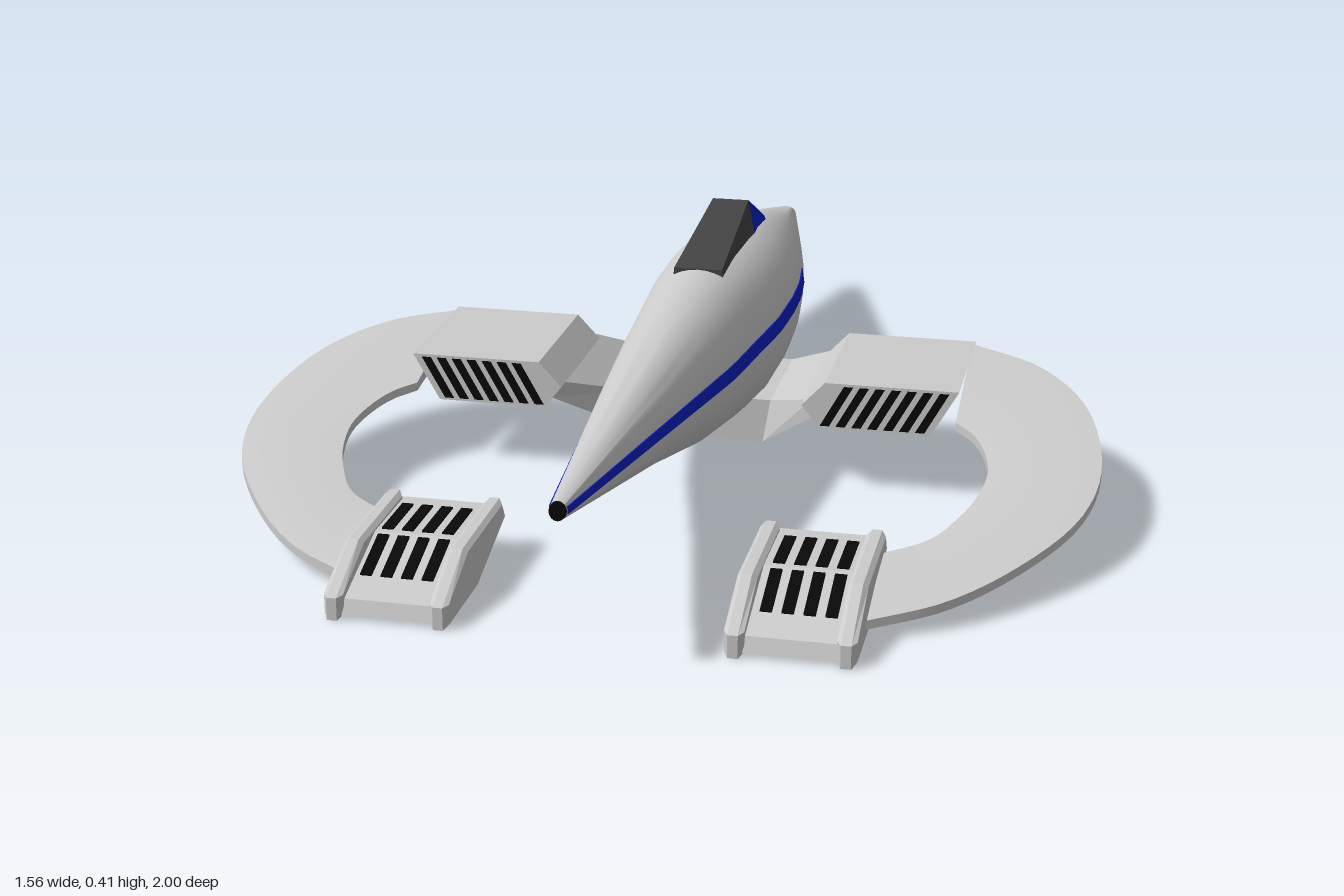
import * as THREE from 'three';
import { toCreasedNormals } from 'three/addons/utils/BufferGeometryUtils.js';

const paint = (color) => new THREE.MeshStandardMaterial({ color });
const grey = paint(0xcccccc), blue = paint(0x0b1fc4), dark = paint(0x444444), black = paint(0x080808);

// Skin over equal-length rings of [x, y, z]; rings run counter-clockwise about the travel direction
function loft(rings, crease = 0.6) {
  const n = rings[0].length, last = (rings.length - 1) * n, index = [];
  for (let i = 0; i < rings.length - 1; i++) {
    for (let j = 0; j < n; j++) {
      const a = i * n + j, b = i * n + (j + 1) % n;
      index.push(a, b, a + n, b, b + n, a + n);
    }
  }
  for (let j = 1; j < n - 1; j++) index.push(0, j + 1, j, last, last + j, last + j + 1);
  const geo = new THREE.BufferGeometry();
  geo.setAttribute('position', new THREE.Float32BufferAttribute(rings.flat(2), 3));
  geo.setIndex(index);
  return toCreasedNormals(geo, crease);
}

// Mirror across x, reversing each triangle
function mirrored(geo) {
  const out = geo.clone();
  for (const name of ['position', 'normal']) {
    const src = geo.attributes[name], dst = out.attributes[name];
    for (let i = 0; i < src.count; i++) {
      const k = i - (i % 3) + [0, 2, 1][i % 3];
      dst.setXYZ(i, -src.getX(k), src.getY(k), src.getZ(k));
    }
  }
  return out;
}

// Linear interpolation through rows sorted by their first value
function sample(rows, z) {
  let i = 0;
  while (i < rows.length - 2 && z > rows[i + 1][0]) i++;
  const t = (z - rows[i][0]) / (rows[i + 1][0] - rows[i][0]);
  return rows[i].map((v, k) => v + (rows[i + 1][k] - v) * t);
}

// Fuselage stations: z, top, bottom, half width
const hull = [
  [-1, 0.215, 0.185, 0.016], [-0.97, 0.225, 0.175, 0.023], [-0.7, 0.293, 0.106, 0.082],
  [-0.58, 0.322, 0.076, 0.107], [-0.48, 0.343, 0.053, 0.124], [-0.38, 0.356, 0.036, 0.136],
  [-0.28, 0.362, 0.028, 0.14], [-0.15, 0.365, 0.028, 0.137], [0, 0.363, 0.05, 0.122],
  [0.2, 0.353, 0.088, 0.104], [0.5, 0.336, 0.165, 0.07], [1, 0.305, 0.275, 0.013],
];
function hullRing(z) {
  const [, top, bottom, rx] = sample(hull, z), ring = [];
  for (let i = 0; i < 48; i++) {
    const a = (i / 48) * Math.PI * 2;
    ring.push([rx * Math.cos(a), (top + bottom) / 2 + ((top - bottom) / 2) * Math.sin(a), z]);
  }
  return ring;
}
function hullX(y, z) {
  const [, top, bottom, rx] = sample(hull, z);
  const v = (y - (top + bottom) / 2) / ((top - bottom) / 2);
  return rx * Math.sqrt(Math.max(0, 1 - v * v));
}

// Prism along x from a [z, y] outline, and along z from an [x, y] outline
const prismX = (outline, x0, x1) => loft([x0, x1].map((x) => outline.map(([z, y]) => [x, y, z])), 0.2);
const prismZ = (outline, z0, z1) => loft([z0, z1].map((z) => outline.map(([x, y]) => [x, y, z])), 0.2);

export function createModel() {
  const model = new THREE.Group();
  const add = (name, geo, mat, parent = model) => {
    const mesh = new THREE.Mesh(geo, mat);
    mesh.name = name;
    parent.add(mesh);
  };
  const sides = ['left', 'right'].map((name) => {
    const g = new THREE.Group();
    g.name = name + 'Side';
    model.add(g);
    return g;
  });
  const pair = (name, geo, mat) => {
    add(name, geo, mat, sides[0]);
    add(name, mirrored(geo), mat, sides[1]);
  };

  // Spindle fuselage and its dark nose tip
  const stations = hull.slice(0, -1).map((h) => h[0]);
  add('fuselage', loft([...stations, 0.993].map(hullRing), 0.9), grey);
  add('noseTip', loft([0.993, 1].map(hullRing)), black);

  // Side stripes: z, height, half thickness
  const path = [[-0.48, 0.22, 0.015], [-0.1, 0.224, 0.014], [0.15, 0.231, 0.014], [0.6, 0.263, 0.01], [0.99, 0.29, 0.006]];
  const stripe = [];
  for (let i = 0; i <= 36; i++) {
    const z = -0.48 + (1.47 * i) / 36, [, y, h] = sample(path, z);
    const lo = hullX(y - h, z) + 0.002, hi = hullX(y + h, z) + 0.002;
    stripe.push([[lo, y - h, z], [hi, y + h, z], [hi - 0.01, y + h, z], [lo - 0.01, y - h, z]]);
  }
  pair('sideStripe', loft(stripe), blue);

  // Wedge canopy: blue windscreen frame, two panes, dark cover
  const canopyRing = (z, wb, wt, top) => [[wb, 0.325, z], [wt, top, z], [-wt, top, z], [-wb, 0.325, z]];
  const peak = canopyRing(-0.33, 0.053, 0.036, 0.416);
  add('windscreenFrame', loft([canopyRing(-0.485, 0.045, 0.04, 0.341), peak], 0.2), blue);
  add('canopyCover', loft([peak, canopyRing(-0.02, 0.05, 0.046, 0.365)], 0.2), dark);
  for (const [z0, z1] of [[-0.465, -0.42], [-0.41, -0.35]]) {
    const ring = (z) => {
      const y = 0.341 + (0.075 * (z + 0.485)) / 0.155;
      return [[0.022, y - 0.004, z], [0.022, y + 0.003, z], [-0.022, y + 0.003, z], [-0.022, y - 0.004, z]];
    };
    add('windscreenPane', loft([z0, z1].map(ring), 0.2), grey);
  }

  // Belly pylon with arms sweeping out and up to the intakes
  const armRing = (xt, xb, top, bottom, z0, z1) => [[xt, top, z0], [xt, top, z1], [xb, bottom, z1], [xb, bottom, z0]];
  add('bellyPylon', loft([
    armRing(-0.245, -0.25, 0.178, 0.145, -0.15, 0.135), armRing(-0.13, -0.115, 0.09, 0.003, -0.325, -0.08),
    armRing(0.13, 0.115, 0.09, 0.003, -0.325, -0.08), armRing(0.245, 0.25, 0.178, 0.145, -0.15, 0.135),
  ], 0.2), grey);

  // Intakes with slanted dark vents at both ends
  pair('intake', prismZ([[0.26, 0.125], [0.465, 0.125], [0.515, 0.213], [0.27, 0.213], [0.227, 0.167]], -0.152, 0.138), grey);
  for (let i = 0; i < 7; i++) {
    const x = 0.262 + i * 0.0292, w = 0.017;
    const x1 = x + 0.043;
    pair('intakeVent', prismZ([[x, 0.13], [x + w, 0.13], [x1 + w, 0.208], [x1, 0.208]], -0.154, 0.14), black);
  }

  // Curved, forward-sloping wing plate joining intake to pod
  const curve = (pts) => new THREE.CatmullRomCurve3(pts.map(([x, z]) => new THREE.Vector3(x, 0, z)));
  const outer = curve([[0.51, -0.15], [0.64, -0.085], [0.735, 0.04], [0.78, 0.25], [0.755, 0.41], [0.67, 0.56], [0.56, 0.68], [0.43, 0.755]]);
  const inner = curve([[0.51, 0.135], [0.545, 0.17], [0.57, 0.22], [0.585, 0.29], [0.575, 0.37], [0.55, 0.44], [0.51, 0.51], [0.43, 0.565]]);
  const wing = [];
  for (let i = 0; i <= 32; i++) {
    const o = outer.getPoint(i / 32), n = inner.getPoint(i / 32), m = o.clone().lerp(n, 0.5);
    const at = (p, h) => [p.x, 0.2 - 0.19 * (p.z + 0.15) + h, p.z];
    wing.push([at(o, 0.008), at(m, 0.014), at(n, 0.008), at(n, -0.008), at(m, -0.014), at(o, -0.008)]);
  }
  pair('wingPlate', loft(wing), grey);

  // Pods: body, side rails with chamfered faces, vent slots above and below
  pair('podBody', prismX([[0.525, 0.088], [0.68, 0.088], [0.84, 0.035], [0.85, 0.009], [0.69, 0.015], [0.515, 0.065]], 0.25, 0.42), grey);
  const rail = [[0.525, 0.1], [0.74, 0.097], [0.858, 0.042], [0.858, 0.002], [0.69, 0.003], [0.508, 0.068]];
  const railRing = (x, s) => rail.map(([z, y]) => [x, 0.052 + (y - 0.052) * s, 0.685 + (z - 0.685) * (s + 1) / 2]);
  for (const x of [0.227, 0.408]) {
    pair('podRail', loft([railRing(x, 0.85), railRing(x + 0.008, 1), railRing(x + 0.025, 1), railRing(x + 0.033, 0.85)], 0.2), grey);
  }
  const slots = [
    [0.56, 0.088, 0.67, 0.088], [0.69, 0.085, 0.785, 0.053],
    [0.55, 0.055, 0.67, 0.021], [0.7, 0.0146, 0.81, 0.0105],
  ];
  for (const [z0, y0, z1, y1] of slots) {
    for (let i = 0; i < 4; i++) {
      const x = 0.273 + i * 0.0355, h = 0.003;
      pair('podSlot', prismX([[z0, y0 + h], [z1, y1 + h], [z1, y1 - h], [z0, y0 - h]], x, x + 0.02), black);
    }
  }
  return model;
}
